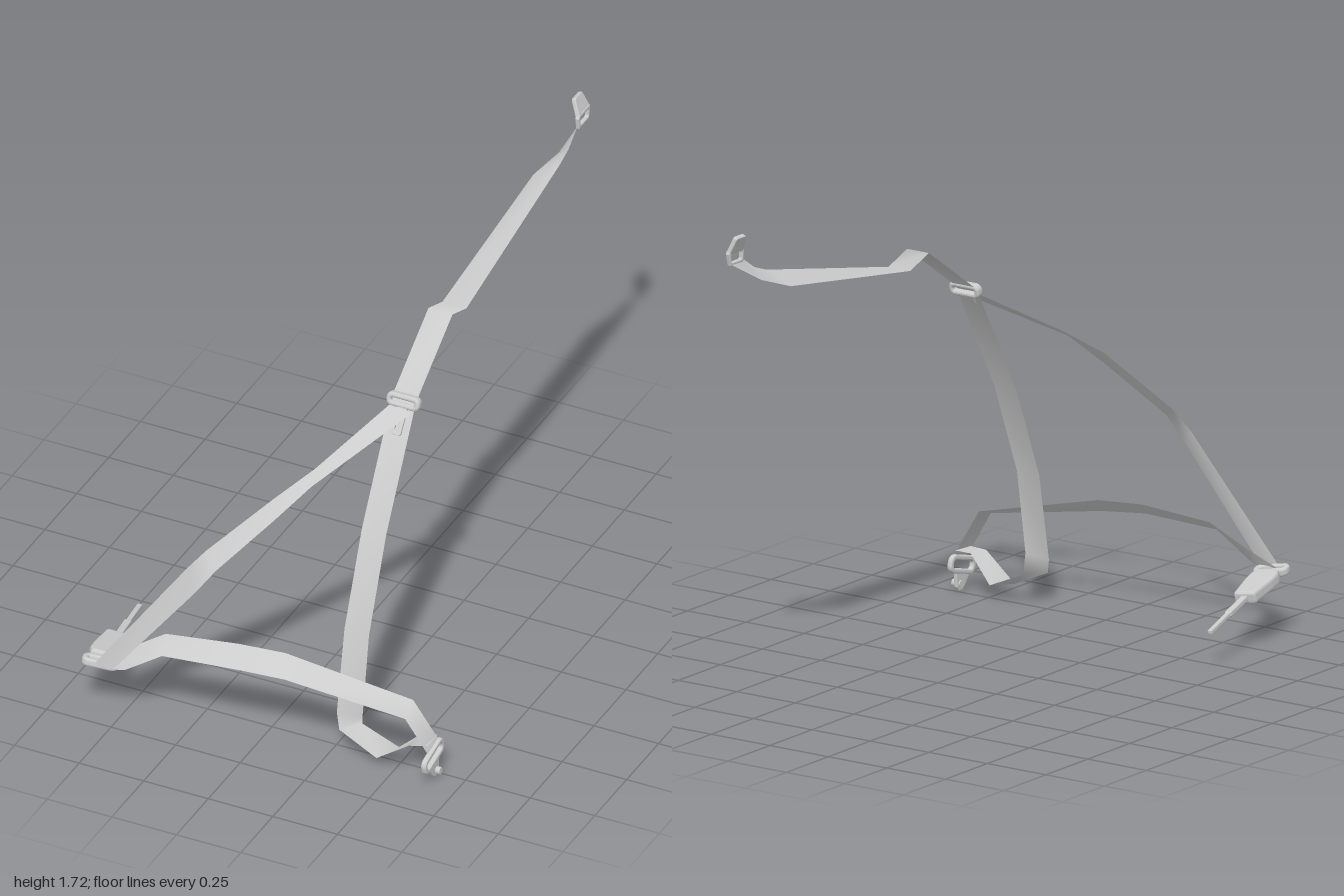
import * as THREE from 'three';
import { RoundedBoxGeometry } from 'three/addons/geometries/RoundedBoxGeometry.js';

const metal = new THREE.MeshStandardMaterial({ color: 0xcccccc });
const webbing = new THREE.MeshStandardMaterial({ color: 0xcccccc, side: THREE.DoubleSide });

function add(parent, name, geometry, material = metal) {
  const mesh = new THREE.Mesh(geometry, material);
  mesh.name = name;
  parent.add(mesh);
  return mesh;
}

function addGroup(parent, name, x, y, z) {
  const group = new THREE.Group();
  group.name = name;
  group.position.set(x, y, z);
  parent.add(group);
  return group;
}

// Thin ribbon from cross-sections: [x, y, z of one edge, x, y, z of the other]
function ribbon(sections) {
  const g = new THREE.BufferGeometry();
  g.setAttribute('position', new THREE.Float32BufferAttribute(sections.flat(), 3));
  const index = [];
  for (let i = 0; i < sections.length - 1; i++) {
    const a = i * 2;
    index.push(a, a + 2, a + 1, a + 1, a + 2, a + 3);
  }
  g.setIndex(index);
  g.computeVertexNormals();
  return g;
}

// Rounded rectangle outline centred on (cx, cy)
function roundRect(w, h, r, cx = 0, cy = 0, target = new THREE.Shape()) {
  const x = w / 2 - r, y = h / 2 - r;
  target.absarc(cx + x, cy + y, r, 0, Math.PI / 2);
  target.absarc(cx - x, cy + y, r, Math.PI / 2, Math.PI);
  target.absarc(cx - x, cy - y, r, Math.PI, Math.PI * 1.5);
  target.absarc(cx + x, cy - y, r, Math.PI * 1.5, Math.PI * 2);
  target.closePath();
  return target;
}

// Bevelled plate, centred through its thickness
function plate(shape, depth, bevel = 0.004) {
  return new THREE.ExtrudeGeometry(shape, {
    depth: depth - 2 * bevel, bevelThickness: bevel, bevelSize: bevel,
    bevelOffset: -bevel, bevelSegments: 3, curveSegments: 6,
  }).translate(0, 0, bevel - depth / 2);
}

// Ring with a slot for the webbing
function slotFrame(w, h, depth, rim, bevel) {
  const shape = roundRect(w, h, h * 0.42);
  const hw = w - 2 * rim, hh = h - 2 * rim;
  shape.holes.push(roundRect(hw, hh, hh * 0.42, 0, 0, new THREE.Path()));
  return plate(shape, depth, bevel);
}

function polygon(points) {
  return new THREE.Shape(points.map(([x, y]) => new THREE.Vector2(x, y)));
}

function addStraps(model) {
  // From the upper anchor, over the shoulder and down to the lower anchor
  add(model, 'shoulderAndSideStrap', ribbon([
    [0.357, 1.615, -0.985, 0.365, 1.622, -0.91],
    [0.322, 1.535, -0.85, 0.367, 1.57, -0.83],
    [0.277, 1.495, -0.74, 0.366, 1.545, -0.76],
    [0.275, 1.39, -0.03, 0.368, 1.39, -0.03],
    [0.275, 1.43, 0.08, 0.368, 1.43, 0.08],
    [0.275, 1.235, 0.365, 0.368, 1.235, 0.365],
    [0.274, 0.82, 0.6, 0.368, 0.82, 0.6],
    [0.273, 0.48, 0.735, 0.368, 0.48, 0.735],
    [0.271, 0.165, 0.79, 0.368, 0.175, 0.785],
    [0.29, 0.11, 0.81, 0.345, 0.11, 0.74],
    [0.44, 0.043, 0.822, 0.485, 0.05, 0.735],
    [0.572, 0.142, 0.835, 0.58, 0.145, 0.755],
    [0.636, 0.15, 0.82, 0.636, 0.15, 0.74],
  ]), webbing);

  // Diagonal chest strap
  add(model, 'chestStrap', ribbon([
    [-0.58, 0.225, 0.985, -0.505, 0.225, 0.975],
    [-0.25, 0.685, 0.91, -0.2, 0.62, 0.95],
    [-0.19, 0.76, 0.885, -0.13, 0.72, 0.93],
    [0.01, 0.96, 0.755, 0.035, 0.905, 0.8],
    [0.115, 1.05, 0.645, 0.13, 1.015, 0.705],
    [0.275, 1.21, 0.385, 0.366, 1.205, 0.39],
  ]), webbing);

  // Lap strap
  add(model, 'lapStrap', ribbon([
    [-0.6, 0.225, 0.965, -0.52, 0.215, 0.965],
    [-0.48, 0.29, 0.93, -0.46, 0.235, 0.975],
    [-0.34, 0.375, 0.895, -0.32, 0.33, 0.965],
    [-0.07, 0.4, 0.872, -0.03, 0.345, 0.945],
    [0.1, 0.395, 0.845, 0.13, 0.335, 0.915],
    [0.56, 0.295, 0.777, 0.57, 0.268, 0.86],
    [0.64, 0.14, 0.745, 0.64, 0.12, 0.825],
  ]), webbing);
}

// Slotted tongue where the chest strap meets the side strap
function addUpperTongue(model) {
  const g = addGroup(model, 'upperTongue', 0.322, 1.228, 0.366);
  g.rotation.x = -0.62;
  const ring = add(g, 'tongueSlotRing', slotFrame(0.128, 0.052, 0.032, 0.02, 0.01));
  ring.rotation.x = 0.4;
  const blade = roundRect(0.042, 0.1, 0.01, 0, -0.072);
  blade.holes.push(roundRect(0.014, 0.03, 0.005, 0, -0.09, new THREE.Path()));
  add(g, 'tongueBlade', plate(blade, 0.01, 0.002));
}

// Buckle on its stalk; local +z runs from the stalk foot to the slot ring
function addBuckle(model) {
  const g = addGroup(model, 'buckle', -0.66, 0.13, 0.45);
  g.lookAt(-0.57, 0.225, 0.95);
  g.rotateZ(-0.12);
  add(g, 'stalk', new RoundedBoxGeometry(0.018, 0.016, 0.17, 2, 0.004)).position.z = 0.085;
  add(g, 'stalkSleeve', new RoundedBoxGeometry(0.026, 0.02, 0.15, 2, 0.005)).position.z = 0.225;
  const half = [[0.036, 0.285], [0.042, 0.295], [0.054, 0.41], [0.054, 0.455], [0.042, 0.485]];
  const outline = [...half, ...half.map(([x, y]) => [-x, y]).reverse()];
  add(g, 'buckleBody', plate(polygon(outline), 0.046, 0.012).rotateX(Math.PI / 2));
  add(g, 'buckleTongue', new RoundedBoxGeometry(0.05, 0.012, 0.05, 2, 0.003)).position.z = 0.485;
  const ring = add(g, 'buckleSlotRing', slotFrame(0.13, 0.06, 0.03, 0.021, 0.009).rotateX(Math.PI / 2));
  ring.position.set(0.005, 0, 0.52);
  ring.rotation.y = 0.12;
}

// Upper anchor: slot frame with a plate bent inward above it
function addUpperAnchor(model) {
  const g = addGroup(model, 'upperAnchor', 0.364, 1.637, -0.95);
  g.rotation.y = Math.PI / 2;
  const frame = polygon([[-0.04, -0.027], [0.036, -0.027], [0.047, 0.015], [0.042, 0.028], [-0.038, 0.028], [-0.046, 0.015]]);
  frame.holes.push(roundRect(0.062, 0.03, 0.006, 0, -0.001, new THREE.Path()));
  add(g, 'anchorFrame', plate(frame, 0.016, 0.004));
  const tab = add(g, 'anchorPlate', plate(
    polygon([[-0.042, 0], [0.044, 0], [0.036, 0.06], [0.03, 0.066], [-0.016, 0.066], [-0.024, 0.06]]), 0.017, 0.004));
  tab.position.y = 0.018;
  tab.rotation.x = -0.42;
}

// Lower anchor: tilted slot ring, mounting plate and bolt
function addLowerAnchor(model) {
  const g = addGroup(model, 'lowerAnchor', 0.64, 0.09, 0.785);
  g.rotation.y = Math.PI / 2;
  const ring = add(g, 'anchorRing', slotFrame(0.152, 0.066, 0.02, 0.018, 0.006));
  ring.rotation.z = 0.25;
  add(g, 'mountingPlate', plate(
    polygon([[-0.045, -0.03], [-0.012, -0.075], [0.006, -0.09], [0.024, -0.09], [0.036, -0.075], [0.04, -0.015]]), 0.014, 0.003));
  const bolt = add(g, 'bolt', new THREE.CylinderGeometry(0.014, 0.014, 0.036, 12).rotateX(Math.PI / 2));
  bolt.position.set(0.016, -0.066, 0.006);
}

export function createModel() {
  const model = new THREE.Group();
  model.name = 'safetyBelt';
  addStraps(model);
  addUpperTongue(model);
  addBuckle(model);
  addUpperAnchor(model);
  addLowerAnchor(model);
  return model;
}
